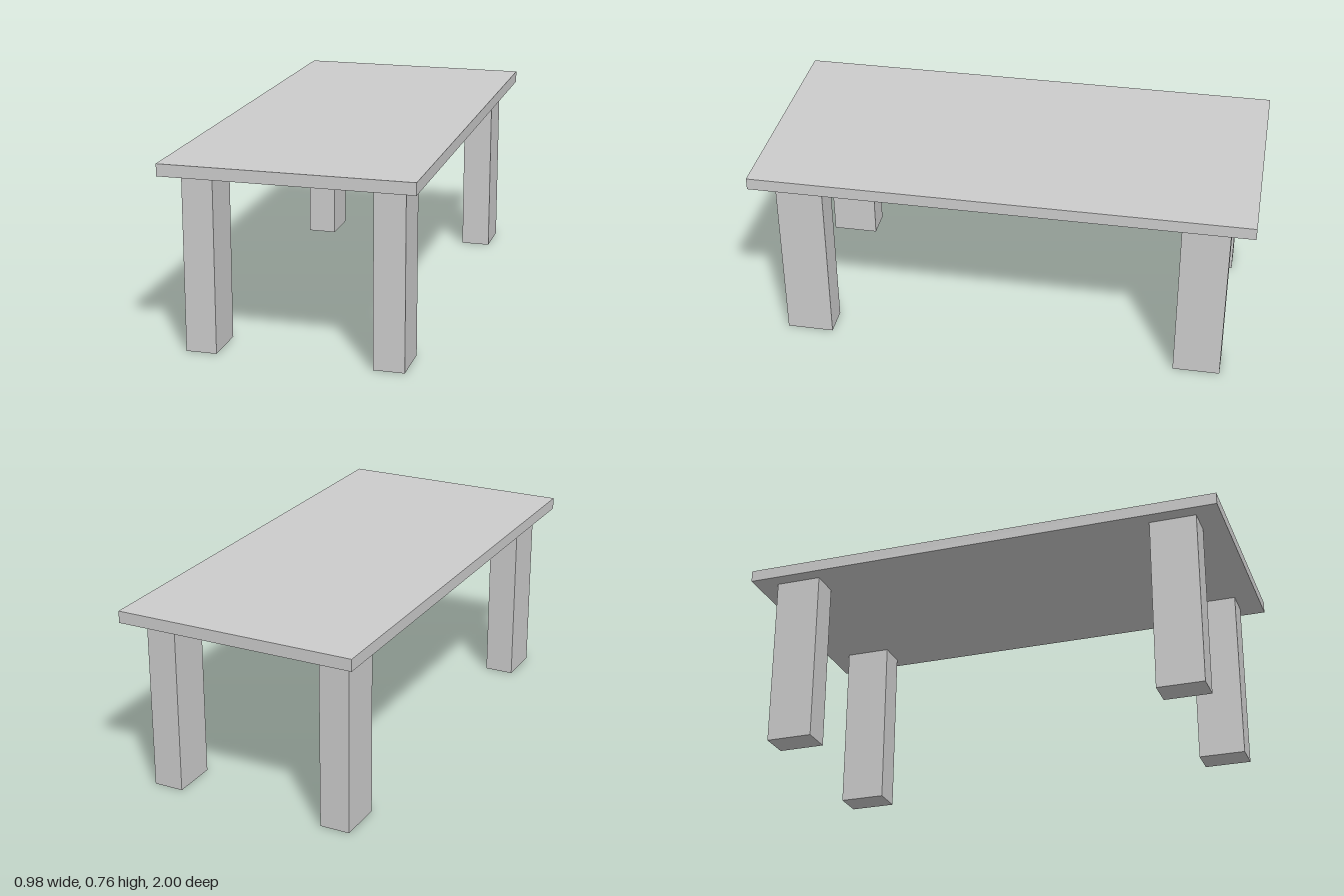
import * as THREE from 'three';

const TOP_HEIGHT = 0.763;
const TOP_THICKNESS = 0.048;
const LEG_HEIGHT = TOP_HEIGHT - TOP_THICKNESS;

export function createModel() {
  const table = new THREE.Group();
  table.name = 'table';
  const material = new THREE.MeshStandardMaterial({ color: 0xcccccc, flatShading: true });

  const addBox = (name, size, position) => {
    const mesh = new THREE.Mesh(new THREE.BoxGeometry(...size), material);
    mesh.name = name;
    mesh.position.set(...position);
    table.add(mesh);
  };

  // Flat slab resting on the legs
  addBox('tableTop', [0.982, TOP_THICKNESS, 2], [0, TOP_HEIGHT - TOP_THICKNESS / 2, 0]);

  // Four rectangular legs, inset from the corners
  for (const [side, sx] of [['Left', 1], ['Right', -1]]) {
    for (const [end, sz] of [['front', 1], ['back', -1]]) {
      addBox(`${end}${side}Leg`, [0.122, LEG_HEIGHT, 0.19], [sx * 0.37, LEG_HEIGHT / 2, sz * 0.81]);
    }
  }

  return table;
}
